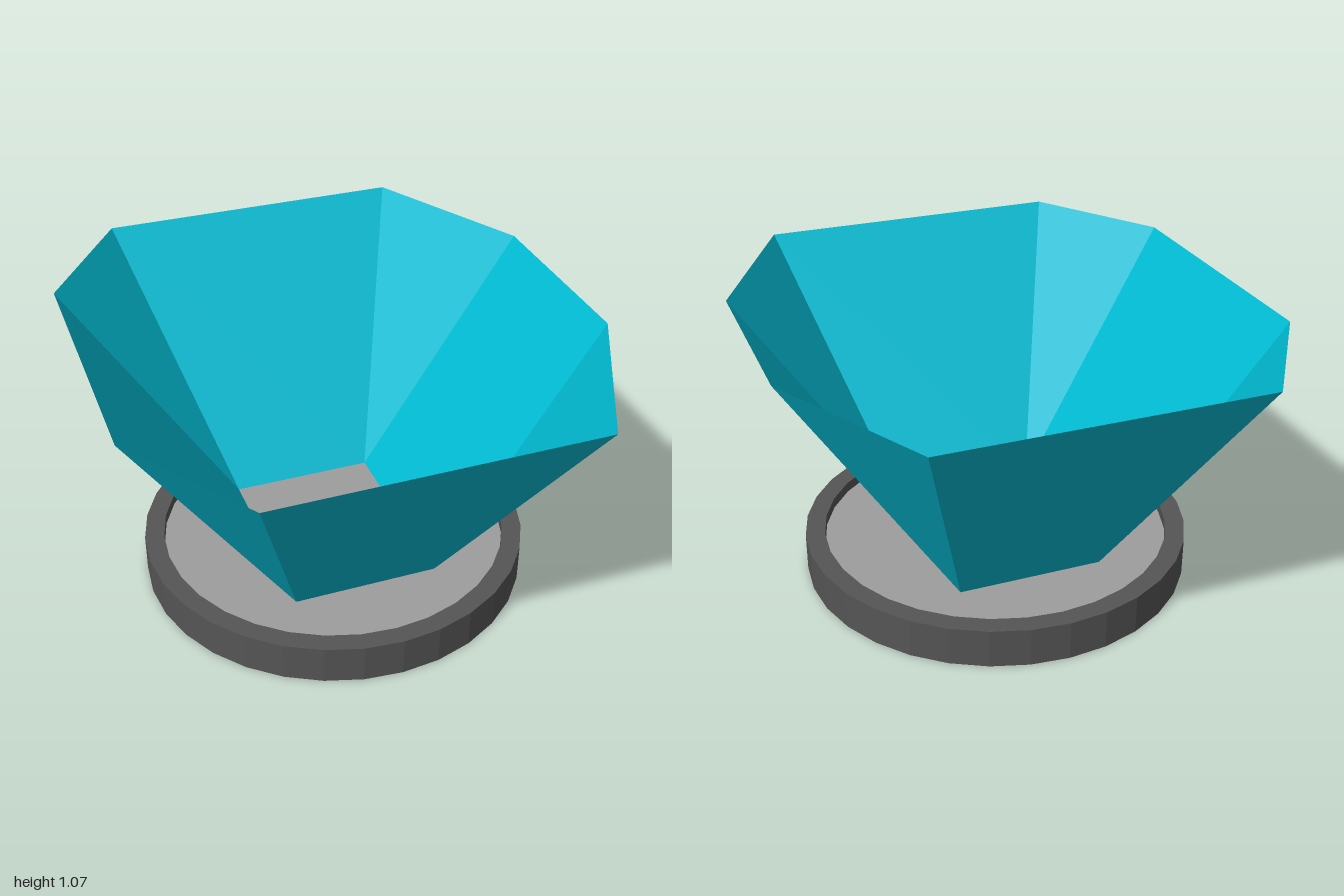
import * as THREE from 'three';

const paint = (color) =>
  new THREE.MeshStandardMaterial({ color, flatShading: true, side: THREE.DoubleSide });

function addMesh(group, name, geometry, color) {
  const mesh = new THREE.Mesh(geometry, paint(color));
  mesh.name = name;
  group.add(mesh);
  return mesh;
}

// Joins two closed rings of [x, z] points with a band of flat panels.
function loft(lower, y0, upper, y1) {
  const pos = [];
  lower.forEach((p, i) => {
    const j = (i + 1) % lower.length;
    const a = [lower[i][0], y0, lower[i][1]];
    const b = [lower[j][0], y0, lower[j][1]];
    const c = [upper[j][0], y1, upper[j][1]];
    const d = [upper[i][0], y1, upper[i][1]];
    if (lower[i] !== lower[j]) pos.push(...a, ...b, ...c); // corner panels are single triangles
    pos.push(...a, ...c, ...d);
  });
  const geometry = new THREE.BufferGeometry();
  geometry.setAttribute('position', new THREE.Float32BufferAttribute(pos, 3));
  geometry.computeVertexNormals();
  return geometry;
}

export function createModel() {
  const model = new THREE.Group();
  model.name = 'hopper';

  const rimTop = 0.15, floorY = 0.11, mouthY = 1.07;
  const outerR = 0.745, innerR = 0.67, sides = 32;

  // Round base tray with a raised rim
  const profile = [[0, 0], [outerR, 0], [outerR, rimTop], [innerR, rimTop], [innerR, floorY - 0.02]]
    .map(([x, y]) => new THREE.Vector2(x, y));
  addMesh(model, 'baseTray', new THREE.LatheGeometry(profile, sides), 0x555555);

  // Light plate lying inside the rim
  const plate = new THREE.CircleGeometry(innerR, sides).rotateX(-Math.PI / 2);
  addMesh(model, 'trayPlate', plate, 0x9e9e9e).position.y = floorY;

  // Open funnel: rectangular foot widening to an eight-sided mouth
  const fl = [-0.28, 0.37], fr = [0.28, 0.37], br = [0.28, -0.375], bl = [-0.28, -0.375];
  const foot = [fl, fr, fr, br, br, bl, bl, fl];
  const mouth = [
    [-0.59, 1], [0.59, 1], [0.91, 0.37], [0.91, -0.38],
    [0.59, -1], [-0.59, -1], [-0.91, -0.53], [-0.91, 0.52],
  ];
  addMesh(model, 'funnel', loft(foot, floorY, mouth, mouthY), 0x00bcd4);

  return model;
}
